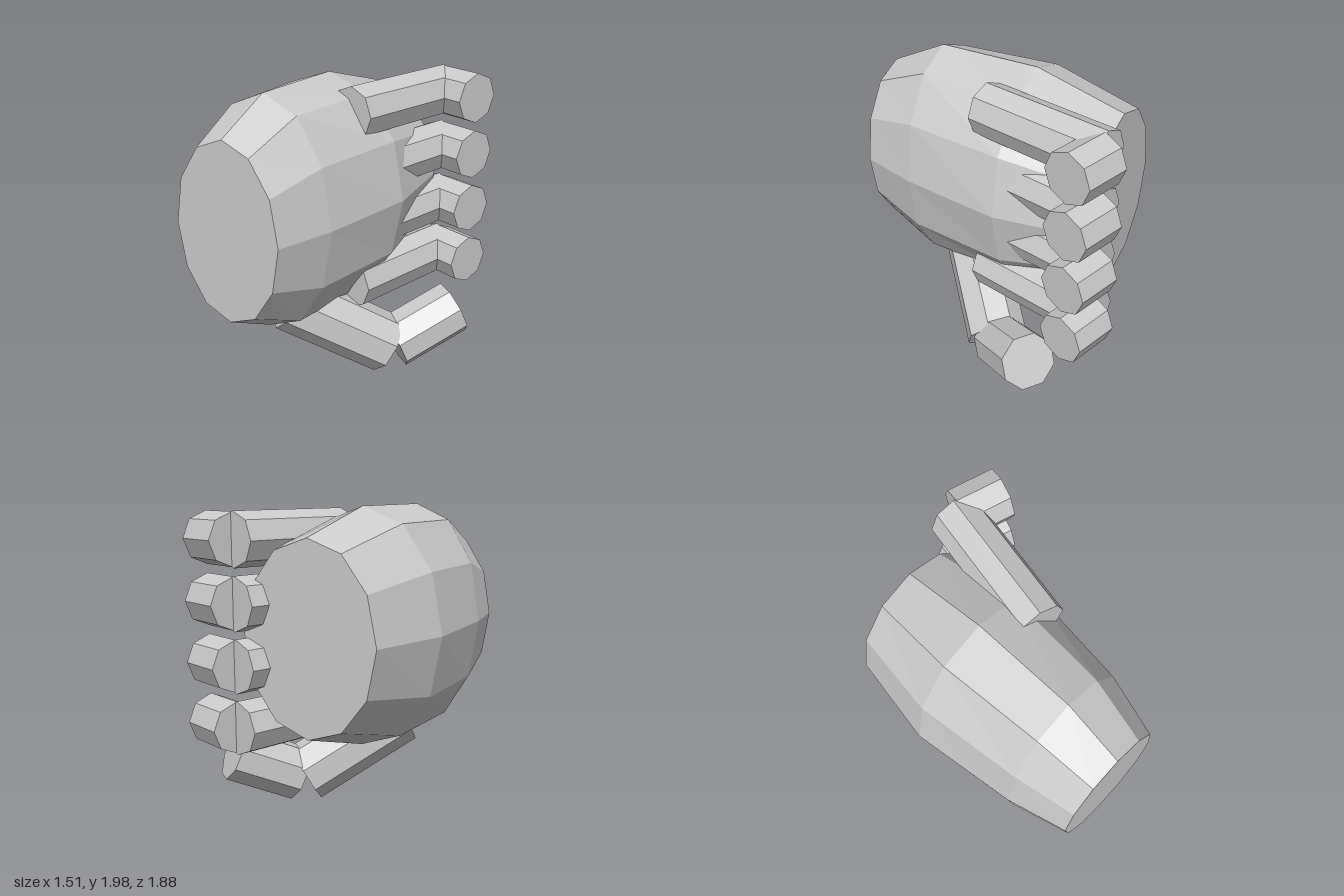
import * as THREE from 'three';

const material = new THREE.MeshStandardMaterial({ color: 0xcccccc, flatShading: true });

// Octagonal bone from one point to another; roll turns it about its own axis
function segment(name, from, to, radius, roll = 0) {
  const a = new THREE.Vector3(...from), b = new THREE.Vector3(...to);
  const geometry = new THREE.CylinderGeometry(radius, radius, a.distanceTo(b), 8);
  geometry.rotateX(Math.PI / 2).rotateZ(roll);
  const mesh = new THREE.Mesh(geometry, material);
  mesh.name = name;
  mesh.position.copy(a).add(b).multiplyScalar(0.5);
  mesh.lookAt(b);
  return mesh;
}

// Twelve-sided elliptical loft, widest behind the middle
function createPalm() {
  const rings = [ // z, half width, half height
    [-0.70, 0.48, 0.60],
    [-0.115, 0.575, 0.767],
    [0.56, 0.485, 0.767],
    [0.94, 0.383, 0.577],
  ];
  const geometry = new THREE.CylinderGeometry(1, 1, 1, 12, rings.length - 1);
  geometry.rotateX(Math.PI / 2);
  const p = geometry.attributes.position;
  for (let i = 0; i < p.count; i++) {
    const [z, rx, ry] = rings[Math.round((p.getZ(i) + 0.5) * (rings.length - 1))];
    p.setXYZ(i, p.getX(i) * rx, p.getY(i) * ry, z);
  }
  geometry.computeVertexNormals();
  const palm = new THREE.Mesh(geometry, material);
  palm.name = 'palm';
  palm.position.set(-0.18, 1.233, 0);
  return palm;
}

export function createModel() {
  const hand = new THREE.Group();
  hand.name = 'hand';
  hand.add(createPalm());

  // Four identical bent fingers, stacked from top to bottom
  for (let i = 0; i < 4; i++) {
    const y = 1.81 - i * 0.385;
    const finger = new THREE.Group();
    finger.name = `finger${i + 1}`;
    finger.add(
      segment('fingerBase', [0.116, y, 0.073], [0.291, y, -0.794], 0.17),
      segment('fingerTip', [0.304, y, -0.782], [0.595, y, -0.695], 0.165),
    );
    hand.add(finger);
  }

  // Thumb, bent under the palm
  const thumb = new THREE.Group();
  thumb.name = 'thumb';
  thumb.add(
    segment('thumbBase', [-0.175, 0.57, 0.37], [0.3, 0.18, -0.09], 0.205, Math.PI / 8),
    segment('thumbTip', [0.34, 0.18, -0.13], [0.6, 0.37, -0.49], 0.187, Math.PI / 8),
  );
  hand.add(thumb);

  return hand;
}
